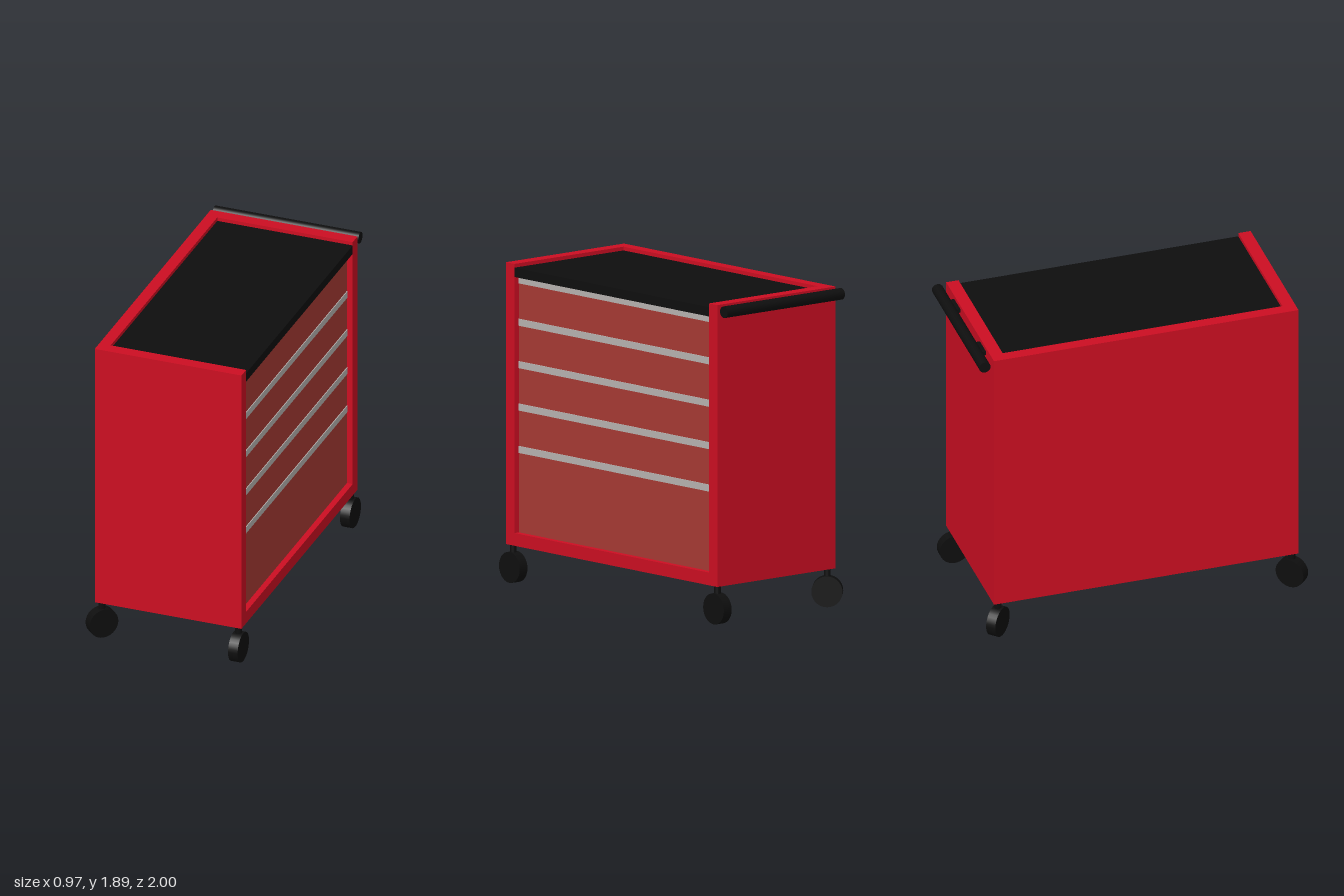
import * as THREE from 'three';

const mat = (name, color) => {
  const m = new THREE.MeshStandardMaterial({ color });
  m.name = name;
  return m;
};

export function createModel() {
  const red = mat('cabinet red', 0xcc0e22);
  const drawerRed = mat('drawer red', 0xa63a34);
  const grey = mat('pull grey', 0xb7b3b0);
  const black = mat('rubber black', 0x0e0e0e);

  const model = new THREE.Group();
  model.name = 'toolCart';

  const add = (name, geometry, material, parent = model) => {
    const mesh = new THREE.Mesh(geometry, material);
    mesh.name = name;
    parent.add(mesh);
    return mesh;
  };
  // Box given by its lower and upper limits on each axis
  const box = (name, material, [x0, x1], [y0, y1], [z0, z1], parent) => {
    const mesh = add(name, new THREE.BoxGeometry(x1 - x0, y1 - y0, z1 - z0), material, parent);
    mesh.position.set((x0 + x1) / 2, (y0 + y1) / 2, (z0 + z1) / 2);
    return mesh;
  };

  // Cabinet shell: two end panels, closed long side and floor
  const X = [-0.435, 0.478], Y = [0.225, 1.887], inner = [-0.837, 0.867];
  box('frontEndPanel', red, X, Y, [inner[1], 0.942]);
  box('backEndPanel', red, X, Y, [-0.912, inner[0]]);
  box('longSidePanel', red, [X[0], -0.365], Y, inner);
  box('floorPanel', red, [-0.365, X[1]], [Y[0], 0.3], inner);

  // Sunken worktop mat with a lip over the drawers
  box('worktopMat', black, [-0.365, 0.445], [1.81, 1.865], inner);
  box('worktopLip', black, [0.445, X[1]], [1.81, 1.865], inner);

  // Drawers, each with a pull strip along its top edge
  const face = 0.442;
  const levels = [0.3, 0.81, 1.06, 1.31, 1.56, 1.81];
  for (let i = 0; i < levels.length - 1; i++) {
    const drawer = new THREE.Group();
    drawer.name = 'drawer' + (i + 1);
    model.add(drawer);
    const top = levels[i + 1];
    box('drawerFront', drawerRed, [-0.365, face], [levels[i], top], inner, drawer);
    box('drawerPull', grey, [face, face + 0.005], [top - 0.041, top], inner, drawer);
  }

  // Push handle on the back end, held by two brackets
  const bar = add('handleBar', new THREE.CylinderGeometry(0.034, 0.034, 0.907, 24), black);
  bar.rotation.z = Math.PI / 2;
  bar.position.set(0.022, 1.852, -0.966);
  for (const x of [-0.225, 0.265]) {
    box('handleBracket', black, [x - 0.06, x + 0.06], [1.841, 1.864], [-0.96, -0.91]);
  }

  // Casters: straight under the drawer side, swivelled outwards on the other
  const caster = (x, z, turn) => {
    const group = new THREE.Group();
    group.name = 'caster';
    group.position.set(x, 0, z);
    group.rotation.y = turn;
    model.add(group);
    const wheel = add('casterWheel', new THREE.CylinderGeometry(0.091, 0.091, 0.06, 28), black, group);
    wheel.rotation.z = Math.PI / 2;
    wheel.position.y = 0.091;
    const stem = add('casterStem', new THREE.CylinderGeometry(0.02, 0.02, 0.1, 16), black, group);
    stem.position.y = 0.18;
  };
  for (const [z, side] of [[0.912, 1], [-0.878, -1]]) {
    caster(0.448, z, 0);
    caster(-0.402, z, -side * Math.PI / 4);
  }

  return model;
}
